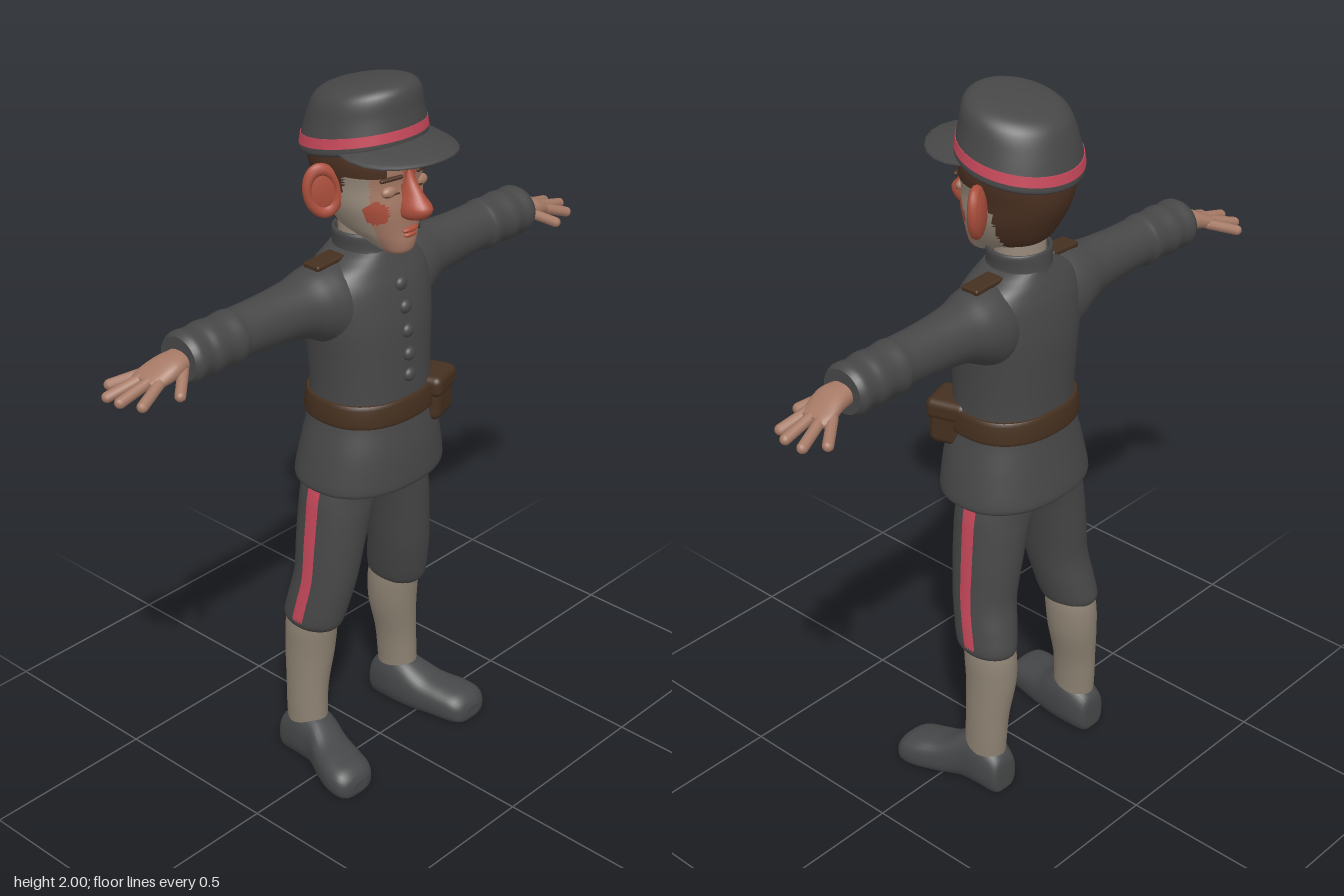
import * as THREE from 'three';
import { RoundedBoxGeometry } from 'three/addons/geometries/RoundedBoxGeometry.js';

const mat = (name, color) => Object.assign(new THREE.MeshStandardMaterial({ color }), { name });
const M = {
  cloth: mat('dark grey cloth', 0x474748),
  legging: mat('beige legging', 0x8c8172),
  skin: mat('skin', 0xa67a66),
  flush: mat('flushed skin', 0xac4f3c),
  pale: mat('pale skin', 0x9a8c7d),
  hair: mat('brown hair', 0x4c3122),
  leather: mat('brown leather', 0x45301f),
  red: mat('red trim', 0xc6485a),
  shoe: mat('shoe grey', 0x464748),
};

// Smooth skin through sections [t, uMin, uMax, vMin, vMax] along an axis.
// u and v are the next two axes in x-y-z order. paint() picks a material index per face.
function loft(axis, rows, { n = 32, steps = 5, p = 1, tweak, paint } = {}) {
  const order = { x: [0, 1, 2], y: [1, 2, 0], z: [2, 0, 1] }[axis];
  const pos = [], tris = [], v = new THREE.Vector3();
  const put = (t, a, b) => {
    v.setComponent(order[0], t).setComponent(order[1], a).setComponent(order[2], b);
    if (tweak) tweak(v);
    pos.push(v.x, v.y, v.z);
  };
  const pw = c => Math.sign(c) * Math.abs(c) ** p;
  const ring = s => {
    for (let j = 0; j < n; j++) {
      const a = j / n * Math.PI * 2;
      put(s[0], (s[1] + s[2]) / 2 + (s[2] - s[1]) / 2 * pw(Math.cos(a)),
        (s[3] + s[4]) / 2 + (s[4] - s[3]) / 2 * pw(Math.sin(a)));
    }
  };
  const row = i => rows[Math.min(Math.max(i, 0), rows.length - 1)];
  const count = (rows.length - 1) * steps + 1;
  for (let k = 0; k < count; k++) {
    const i = Math.floor(k / steps), m = k / steps - i;
    const A = row(i - 1), B = row(i), C = row(i + 1), D = row(i + 2);
    ring(B.map((b, q) => b + 0.5 * m * (C[q] - A[q] + m * (2 * A[q] - 5 * b + 4 * C[q] - D[q]
      + m * (3 * b - A[q] - 3 * C[q] + D[q])))));
  }
  for (let k = 0; k < count - 1; k++) for (let j = 0; j < n; j++) {
    const a = k * n + j, b = k * n + (j + 1) % n, ang = (j + 0.5) / n * Math.PI * 2;
    tris.push([a, b, b + n, ang], [a, b + n, a + n, ang]);
  }
  // End caps with their own rim, so the edges stay crisp
  [rows[0], rows[rows.length - 1]].forEach((s, end) => {
    const o = pos.length / 3;
    ring(s);
    put(s[0], (s[1] + s[2]) / 2, (s[3] + s[4]) / 2);
    for (let j = 0; j < n; j++) {
      const a = o + j, b = o + (j + 1) % n;
      tris.push(end ? [o + n, a, b, 0] : [o + n, b, a, 0]);
    }
  });
  const g = new THREE.BufferGeometry();
  g.setAttribute('position', new THREE.Float32BufferAttribute(pos, 3));
  const buckets = [];
  for (const t of tris) {
    const c = [0, 1, 2].map(q => (pos[t[0] * 3 + q] + pos[t[1] * 3 + q] + pos[t[2] * 3 + q]) / 3);
    (buckets[paint ? paint(c, t[3]) : 0] ??= []).push(t[0], t[1], t[2]);
  }
  const index = [];
  buckets.forEach((b, i) => {
    if (paint) g.addGroup(index.length, b.length, i);
    for (const q of b) index.push(q);
  });
  g.setIndex(index);
  g.computeVertexNormals();
  return g;
}

function mirror(geo) {
  const g = geo.clone();
  if (!g.index) g.setIndex([...Array(g.attributes.position.count).keys()]);
  g.scale(-1, 1, 1);
  const a = g.index.array;
  for (let i = 0; i < a.length; i += 3) [a[i + 1], a[i + 2]] = [a[i + 2], a[i + 1]];
  return g;
}

const ball = (x, y, z, rx, ry, rz) => new THREE.SphereGeometry(1, 24, 16).scale(rx, ry, rz).translate(x, y, z);

// Rounded stick between two points
function stick(a, b, r) {
  const A = new THREE.Vector3(...a), B = new THREE.Vector3(...b), d = B.clone().sub(A);
  const q = new THREE.Quaternion().setFromUnitVectors(new THREE.Vector3(0, 1, 0), d.clone().normalize());
  return new THREE.CapsuleGeometry(r, d.length(), 5, 10).applyQuaternion(q)
    .translate(...A.add(B).multiplyScalar(0.5).toArray());
}

export function createModel() {
  const model = new THREE.Group();
  const add = (name, geo, m) => {
    const mesh = new THREE.Mesh(geo, m);
    mesh.name = name;
    model.add(mesh);
  };
  const pair = (name, geo, m) => {
    add(name + 'Left', geo, m);
    add(name + 'Right', mirror(geo), m);
  };

  // Jacket, collar, belt
  add('jacket', loft('y', [
    [0.89, -0.205, 0.125, -0.212, 0.212], [0.91, -0.21, 0.13, -0.216, 0.216], [1.0, -0.195, 0.125, -0.198, 0.198],
    [1.09, -0.18, 0.11, -0.174, 0.174], [1.16, -0.176, 0.106, -0.169, 0.169], [1.26, -0.18, 0.102, -0.174, 0.174],
    [1.36, -0.182, 0.095, -0.185, 0.185], [1.45, -0.172, 0.075, -0.19, 0.19], [1.5, -0.158, 0.055, -0.165, 0.165],
    [1.53, -0.146, 0.042, -0.115, 0.115], [1.545, -0.14, 0.035, -0.085, 0.085]], { n: 48, p: 0.88 }), M.cloth);
  add('collar', loft('y', [[1.5, -0.15, 0.05, -0.095, 0.095], [1.545, -0.142, 0.036, -0.084, 0.084],
    [1.585, -0.138, 0.03, -0.088, 0.088], [1.592, -0.132, 0.022, -0.08, 0.08], [1.575, -0.125, 0.015, -0.074, 0.074]],
  { tweak: v => { v.y -= 0.03 * Math.max(0, 1 - Math.abs(v.x) / 0.06) * (v.z > 0 && v.y > 1.55 ? 1 : 0); } }), M.cloth);
  add('belt', loft('y', [[1.085, -0.188, 0.117, -0.18, 0.18], [1.095, -0.191, 0.121, -0.184, 0.184],
    [1.14, -0.187, 0.117, -0.18, 0.18], [1.15, -0.183, 0.112, -0.175, 0.175]], { n: 48, p: 0.88, steps: 2 }), M.leather);
  [[1.21, 0.104], [1.27, 0.103], [1.335, 0.097], [1.4, 0.088], [1.46, 0.072]].forEach(([y, z], i) =>
    add('button' + (i + 1), ball(0, y, z, 0.019, 0.019, 0.014), M.cloth));
  const pouchAt = g => g.rotateY(0.3).translate(0.13, 1.095, 0.055);
  add('pouch', pouchAt(new RoundedBoxGeometry(0.11, 0.125, 0.11, 3, 0.022)), M.leather);
  add('pouchFlap', pouchAt(new RoundedBoxGeometry(0.12, 0.06, 0.12, 3, 0.02).translate(0, 0.04, 0.002)), M.leather);

  // Sleeves with gathered cuffs
  pair('sleeve', loft('x', [
    [0.04, 1.3, 1.515, -0.14, 0.03], [0.13, 1.295, 1.53, -0.16, 0.045], [0.19, 1.325, 1.525, -0.155, 0.032],
    [0.25, 1.352, 1.512, -0.14, 0.012], [0.35, 1.362, 1.505, -0.13, 0], [0.45, 1.367, 1.503, -0.13, -0.002],
    [0.48, 1.36, 1.506, -0.136, 0.004], [0.52, 1.366, 1.502, -0.133, 0], [0.56, 1.361, 1.505, -0.138, 0.005],
    [0.59, 1.367, 1.5, -0.135, 0], [0.625, 1.363, 1.502, -0.14, 0.005], [0.645, 1.375, 1.492, -0.13, -0.005]]), M.cloth);
  pair('shoulderStrap', new RoundedBoxGeometry(0.1, 0.016, 0.055, 2, 0.006).rotateZ(-0.05).translate(0.145, 1.531, -0.06), M.leather);

  // Hands
  pair('palm', loft('x', [[0.62, 1.405, 1.46, -0.1, -0.035], [0.68, 1.4, 1.455, -0.112, -0.02],
    [0.73, 1.39, 1.432, -0.125, -0.028], [0.755, 1.393, 1.418, -0.118, -0.038]], { n: 20, p: 0.85 }), M.skin);
  [[[0.72, 1.41, -0.112], [0.785, 1.385, -0.163]], [[0.73, 1.413, -0.092], [0.828, 1.382, -0.122]],
    [[0.73, 1.413, -0.066], [0.833, 1.387, -0.07]], [[0.73, 1.41, -0.042], [0.805, 1.382, -0.022]],
    [[0.66, 1.42, -0.035], [0.715, 1.388, 0.012]]].forEach(([a, b], i) =>
    pair(i < 4 ? 'finger' + (i + 1) : 'thumb', stick(a, b, 0.0145), M.skin));

  // Breeches with a side stripe, leggings, shoes
  pair('trouserLeg', loft('y', [
    [0.44, -0.175, -0.015, 0.11, 0.23], [0.46, -0.185, 0, 0.1, 0.24], [0.52, -0.175, 0.015, 0.085, 0.236],
    [0.6, -0.16, 0.03, 0.068, 0.227], [0.7, -0.163, 0.04, 0.046, 0.219], [0.8, -0.165, 0.047, 0.016, 0.21],
    [0.86, -0.166, 0.05, -0.012, 0.203], [0.95, -0.17, 0.06, -0.015, 0.18]],
  { n: 64, paint: (c, a) => (c[1] > 0.465 && Math.abs(a - Math.PI / 2) < 0.2 ? 1 : 0) }), [M.cloth, M.red]);
  pair('legging', loft('y', [[0.08, -0.165, -0.04, 0.14, 0.24], [0.16, -0.17, -0.042, 0.138, 0.24],
    [0.24, -0.174, -0.042, 0.13, 0.238], [0.34, -0.184, -0.034, 0.108, 0.235], [0.42, -0.183, -0.026, 0.103, 0.234],
    [0.48, -0.17, -0.02, 0.11, 0.225]]), M.legging);
  pair('shoe', loft('z', [[-0.182, 0.165, 0.215, 0.01, 0.07], [-0.172, 0.143, 0.236, -0.015, 0.11],
    [-0.11, 0.13, 0.247, -0.015, 0.15], [-0.05, 0.133, 0.252, -0.015, 0.14], [0.01, 0.145, 0.28, -0.015, 0.105],
    [0.07, 0.158, 0.305, -0.015, 0.092], [0.115, 0.17, 0.309, -0.015, 0.082], [0.14, 0.188, 0.295, -0.01, 0.064],
    [0.15, 0.215, 0.27, 0.01, 0.045]], { p: 0.8, tweak: v => { v.y = Math.max(v.y, 0); } }), M.shoe);

  // Head, painted with hair, flushed cheeks and pale jaw
  add('neck', loft('y', [[1.5, -0.12, 0.01, -0.065, 0.065], [1.66, -0.125, 0.01, -0.07, 0.07]]), M.pale);
  const headPaint = ([x, y, z]) => {
    const ax = Math.abs(x);
    if (z < -0.07 || y > (ax > 0.07 ? 1.768 : 1.79) || (z < -0.01 && y > 1.72)) return 1;
    if (Math.hypot(ax - 0.09, y - 1.675, z - 0.07) < 0.034 || (ax < 0.024 && y > 1.69)) return 2;
    return z < 0.055 ? 3 : 0;
  };
  add('head', loft('y', [[1.55, 0.035, 0.085, -0.025, 0.025], [1.56, 0.01, 0.1, -0.042, 0.042],
    [1.585, -0.06, 0.106, -0.063, 0.063], [1.62, -0.13, 0.105, -0.09, 0.09], [1.68, -0.17, 0.107, -0.117, 0.117],
    [1.74, -0.195, 0.1, -0.127, 0.127], [1.8, -0.2, 0.103, -0.139, 0.139], [1.86, -0.19, 0.09, -0.135, 0.135]],
  { n: 64, steps: 8, p: 0.92, paint: headPaint }), [M.skin, M.hair, M.flush, M.pale]);
  add('nose', loft('y', [[1.652, 0.09, 0.125, -0.016, 0.016], [1.665, 0.06, 0.158, -0.033, 0.033],
    [1.69, 0.06, 0.172, -0.035, 0.035], [1.72, 0.06, 0.146, -0.024, 0.024], [1.755, 0.07, 0.118, -0.016, 0.016],
    [1.785, 0.08, 0.104, -0.012, 0.012]], { n: 24 }), M.flush);
  add('upperLip', ball(0, 1.622, 0.104, 0.028, 0.008, 0.011), M.flush);
  add('lowerLip', ball(0, 1.608, 0.103, 0.022, 0.008, 0.011), M.flush);
  pair('eyelid', ball(0.056, 1.732, 0.083, 0.026, 0.016, 0.015), M.skin);
  pair('eyeSlit', stick([0.036, 1.727, 0.098], [0.076, 1.725, 0.09], 0.0025), M.hair);
  pair('eyebrow', stick([0.032, 1.77, 0.1], [0.085, 1.768, 0.085], 0.006), M.hair);
  const earAt = g => g.rotateZ(-0.2).rotateY(0.5).translate(0.155, 1.728, -0.052);
  pair('ear', earAt(ball(0, 0, -0.006, 0.048, 0.068, 0.018)), M.flush);
  pair('earRim', earAt(new THREE.TorusGeometry(0.04, 0.012, 10, 32).scale(1, 1.45, 1.2)), M.flush);

  // Cap, leaning back, with red band and visor
  const lean = v => { v.y += 0.19 * (v.z + 0.05); };
  const capRow = (y, r, c = -0.055, d = 0) => [y, c - r - d, c + r + d, -r, r];
  add('capRim', loft('y', [capRow(1.818, 0.157), capRow(1.826, 0.164), capRow(1.845, 0.163)], { n: 48, tweak: lean }), M.cloth);
  add('capBand', loft('y', [capRow(1.84, 0.165), capRow(1.866, 0.161)], { n: 48, steps: 2, tweak: lean }), M.red);
  add('capCrown', loft('y', [capRow(1.862, 0.16), capRow(1.9, 0.15, -0.053, 0.002), capRow(1.94, 0.14, -0.048, 0.003),
    capRow(1.963, 0.126, -0.046, 0.005), capRow(1.978, 0.1, -0.045, 0.006), capRow(1.986, 0.055, -0.045),
    capRow(1.988, 0.004, -0.045)], { n: 48, tweak: lean }), M.cloth);
  const visor = ball(0, 0, 0, 0.16, 0.015, 0.17).rotateX(0.1);
  const vp = visor.attributes.position;
  for (let i = 0; i < vp.count; i++) vp.setY(i, vp.getY(i) - 0.9 * vp.getX(i) ** 2);
  visor.computeVertexNormals();
  add('visor', visor.translate(0, 1.852, 0.048), M.cloth);

  return model;
}
